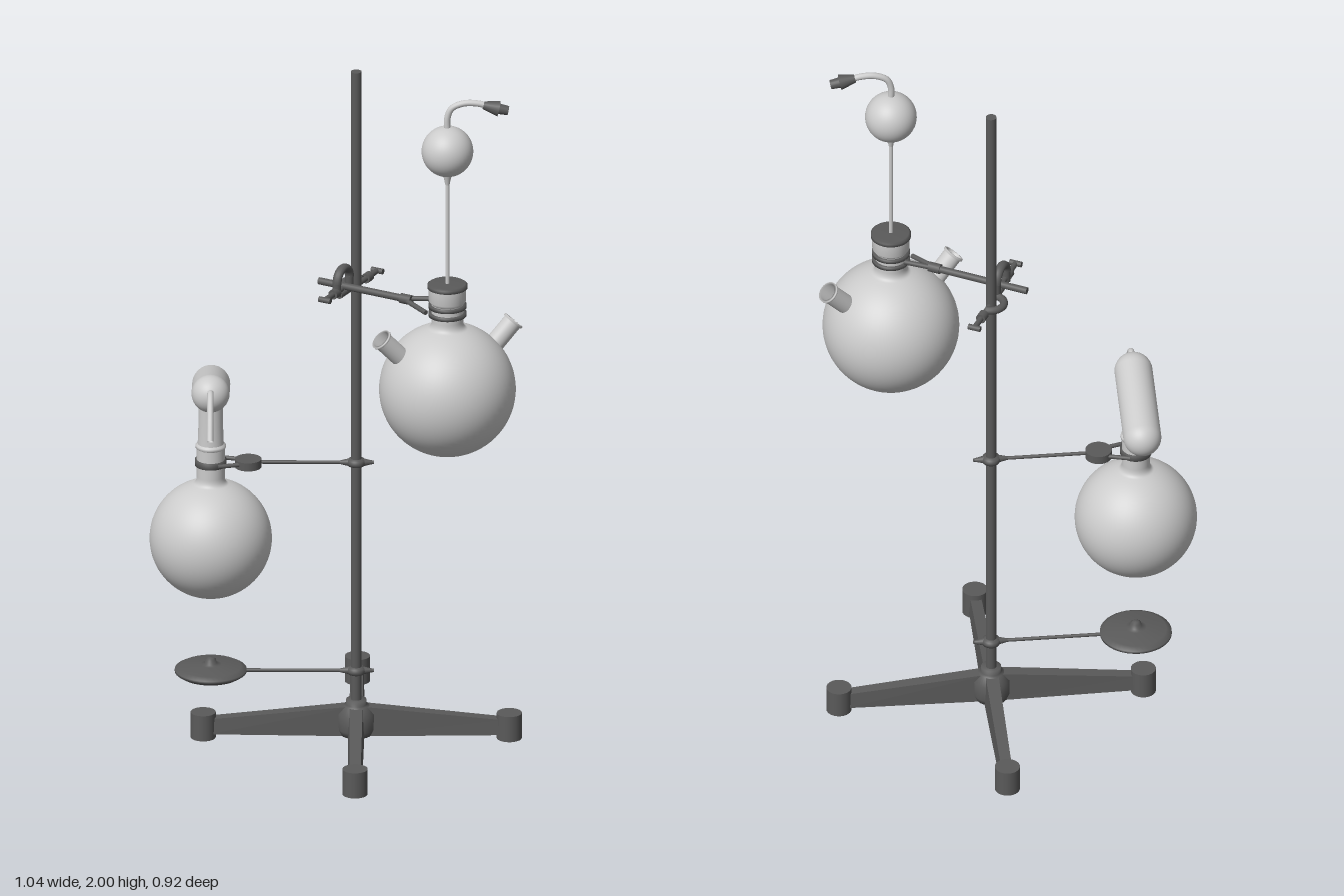
import * as THREE from 'three';

const V = (x, y, z) => new THREE.Vector3(x, y, z);
const glass = new THREE.MeshStandardMaterial({ color: 0xcccccc, side: THREE.DoubleSide });
const metal = new THREE.MeshStandardMaterial({ color: 0x5a5a5a, side: THREE.DoubleSide });

function add(parent, name, geometry, material, x = 0, y = 0, z = 0) {
  const m = new THREE.Mesh(geometry, material);
  m.name = name;
  m.position.set(x, y, z);
  parent.add(m);
  return m;
}

// Turn an object's own y axis from a towards b and centre it between them
function span(m, a, b) {
  m.position.copy(a).add(b).multiplyScalar(0.5);
  m.quaternion.setFromUnitVectors(V(0, 1, 0), b.clone().sub(a).normalize());
  return m;
}
const rod = (p, name, a, b, r, mat = metal, r2 = r) =>
  span(add(p, name, new THREE.CylinderGeometry(r2, r, a.distanceTo(b), 20), mat), a, b);

const lathe = (p, name, pts, mat, x, y, z, seg = 40) =>
  add(p, name, new THREE.LatheGeometry(pts.map(q => new THREE.Vector2(q[0], q[1])), seg), mat, x, y, z);

const tube = (p, name, pts, r, mat, seg = 40) =>
  add(p, name, new THREE.TubeGeometry(new THREE.CatmullRomCurve3(pts), seg, r, 12), mat);

// Round flask: sphere profile running through a fillet into a straight neck
function flask(p, name, r, neck, top, x, y, z) {
  const phi = Math.asin((neck * 1.3) / r), pts = [];
  for (let i = 0; i <= 40; i++) {
    const a = Math.PI - (Math.PI - phi) * i / 40;
    pts.push(new THREE.Vector2(Math.max(0, r * Math.sin(a)), r * Math.cos(a)));
  }
  const e = pts[pts.length - 1];
  const cornerY = e.y + (e.x - neck) * Math.tan(phi);
  const fillet = new THREE.QuadraticBezierCurve(e, new THREE.Vector2(neck, cornerY),
    new THREE.Vector2(neck, cornerY + 0.02));
  pts.push(...fillet.getPoints(8).slice(1), new THREE.Vector2(neck, top - y));
  return add(p, name, new THREE.LatheGeometry(pts, 56), glass, x, y, z);
}

// Flat ring around a vertical neck
const band = (p, name, r, h, x, y, z) => lathe(p, name,
  [[r - 0.008, -h], [r, -h], [r, h], [r - 0.008, h]], metal, x, y, z);

const PX = 0.05; // stand axis

function stand() {
  const g = new THREE.Group();
  g.name = 'stand';
  rod(g, 'pole', V(PX, 0.03, 0), V(PX, 1.99, 0), 0.015);
  lathe(g, 'hub', [[0, 0.012], [0.045, 0.012], [0.053, 0.03], [0.053, 0.075], [0.035, 0.098],
    [0.028, 0.1], [0.028, 0.115], [0, 0.115]], metal, PX, 0, 0);
  for (let i = 0; i < 4; i++) {
    const leg = new THREE.Group();
    leg.name = 'baseLeg';
    leg.position.x = PX;
    leg.rotation.y = i * Math.PI / 2;
    g.add(leg);
    // Leg tapers towards its foot and narrows at the top
    const geo = new THREE.BoxGeometry(1, 1, 1).toNonIndexed(), pos = geo.attributes.position;
    for (let k = 0; k < pos.count; k++) {
      const out = pos.getX(k) > 0, up = pos.getY(k) > 0;
      pos.setXYZ(k, out ? 0.41 : 0, up ? (out ? 0.058 : 0.1) : (out ? 0.015 : 0.012),
        Math.sign(pos.getZ(k)) * (out ? 0.019 : 0.023) * (up ? 0.8 : 1));
    }
    geo.computeVertexNormals();
    add(leg, 'legBar', geo, metal);
    add(leg, 'foot', new THREE.CylinderGeometry(0.035, 0.035, 0.075, 32), metal, 0.425, 0.0375, 0);
  }
  return g;
}

// Thin arm reaching left from a collar on the pole
function arm(g, y, endX) {
  rod(g, 'armRod', V(endX, y, 0), V(0.1, y, 0), 0.005);
  lathe(g, 'poleCollar', [[0.015, -0.012], [0.024, -0.008], [0.026, 0], [0.024, 0.008], [0.015, 0.012]],
    metal, PX, y, 0);
  rod(g, 'armSleeve', V(0, y, 0), V(0.03, y, 0), 0.004, metal, 0.011);
  rod(g, 'armScrew', V(0.07, y, 0), V(0.1, y, 0), 0.011, metal, 0.004);
}

function heater() {
  const g = new THREE.Group();
  g.name = 'lowerPlate';
  arm(g, 0.2, -0.3);
  lathe(g, 'plate', [[0, -0.013], [0.085, -0.013], [0.1, -0.003], [0.1, 0.004], [0.085, 0.012],
    [0.03, 0.018], [0.016, 0.02], [0.015, 0.032], [0.008, 0.037], [0, 0.038]], metal, -0.354, 0.2, 0);
  return g;
}

function leftApparatus() {
  const g = new THREE.Group(), X = -0.354;
  g.name = 'leftFlask';
  flask(g, 'flaskBody', 0.17, 0.039, 0.87, X, 0.595, 0);
  lathe(g, 'neckRim', [[0.036, 0.862], [0.042, 0.866], [0.042, 0.874], [0.034, 0.88]], glass, X, 0, 0);
  lathe(g, 'riser', [[0.037, 0.86], [0.034, 0.94], [0.034, 1.03]], glass, X, 0, 0);
  // Tilted bulb with a bent outlet
  const a = V(X, 0.987, -0.17), b = V(X, 1.05, 0.06);
  span(add(g, 'tiltedBulb', new THREE.CapsuleGeometry(0.053, a.distanceTo(b), 12, 32), glass), a, b);
  tube(g, 'outletTube', [V(X, 1.062, 0.09), V(X, 1.072, 0.118), V(X, 1.06, 0.14), V(X, 1.015, 0.178),
    V(X, 0.967, 0.214)], 0.009, glass);
  // Clamp
  arm(g, 0.822, -0.25);
  add(g, 'clampKnob', new THREE.CylinderGeometry(0.037, 0.037, 0.024, 32), metal, -0.25, 0.82, 0);
  band(g, 'clampRing', 0.044, 0.009, X, 0.822, 0);
  for (const s of [-1, 1])
    rod(g, 'clampJaw', V(-0.25, 0.822, s * 0.015), V(X + 0.02, 0.822, s * 0.038), 0.006);
  return g;
}

function rightApparatus() {
  const g = new THREE.Group(), X = 0.305, Z = 0.233, C = V(X, 1.135, Z);
  g.name = 'rightFlask';
  flask(g, 'flaskBody', 0.19, 0.044, 1.41, X, C.y, Z);
  lathe(g, 'neckSocket', [[0.044, 1.39], [0.052, 1.4], [0.052, 1.438]], glass, X, 0, Z);
  lathe(g, 'stopper', [[0.05, 1.436], [0.056, 1.438], [0.056, 1.447], [0.05, 1.451], [0, 1.451]],
    metal, X, 0, Z);
  // Two open side necks
  for (const s of [-1, 1]) {
    const start = V(X + s * 0.108, 1.225, Z - s * 0.043), end = V(X + s * 0.184, 1.312, Z - s * 0.074);
    const L = start.distanceTo(end) / 2;
    span(lathe(g, 'sideNeck', [[0.027, -L], [0.027, L - 0.008], [0.031, L - 0.006], [0.031, L],
      [0.024, L], [0.022, -L]], glass, 0, 0, 0), start, end);
  }
  // Upper bulb on a thin stem
  rod(g, 'stem', V(X, 1.43, Z), V(X, 1.79, Z), 0.006, glass);
  lathe(g, 'stemTaper', [[0.006, 1.745], [0.01, 1.765], [0.016, 1.782]], glass, X, 0, Z);
  add(g, 'upperBulb', new THREE.SphereGeometry(0.072, 40, 28), glass, X, 1.845, Z);
  tube(g, 'bentTube', [V(X, 1.9, Z), V(X, 1.945, Z), V(X + 0.012, 1.973, Z), V(X + 0.045, 1.988, Z),
    V(X + 0.085, 1.988, Z), V(X + 0.125, 1.977, Z)], 0.009, glass);
  rod(g, 'hoseCone', V(0.405, 1.983, Z), V(0.448, 1.973, Z), 0.011, metal, 0.022);
  rod(g, 'hoseTip', V(0.446, 1.973, Z), V(0.474, 1.967, Z), 0.015, metal, 0.013);
  return g;
}

function upperClamp() {
  const g = new THREE.Group(), Y = 1.373;
  g.name = 'upperClamp';
  rod(g, 'clampRod', V(-0.053, Y, 0.022), V(0.184, Y, 0.154), 0.01);
  // Fork and rings gripping the neck
  rod(g, 'forkTine', V(0.18, Y, 0.152), V(0.272, Y + 0.01, 0.181), 0.007);
  rod(g, 'forkTine', V(0.18, Y, 0.152), V(0.245, Y - 0.01, 0.235), 0.007);
  rod(g, 'forkJoint', V(0.175, Y, 0.15), V(0.205, Y, 0.167), 0.014);
  for (const dy of [-0.013, 0.011]) band(g, 'neckRing', 0.053, 0.005, 0.305, Y + dy, 0.233);
  // Double boss, its own x axis running along both thumbscrews
  const boss = new THREE.Group();
  boss.name = 'boss';
  boss.position.set(PX, 0, 0);
  boss.rotation.y = Math.atan2(-0.88, -0.47);
  g.add(boss);
  const hook = add(boss, 'rodHook', new THREE.TorusGeometry(0.036, 0.011, 12, 28, Math.PI), metal, 0.076, 1.393, 0);
  hook.scale.z = 1.2;
  rod(boss, 'hookLeg', V(0.112, 1.395, 0), V(0.112, 1.358, 0), 0.012);
  rod(boss, 'hookLeg', V(0.04, 1.395, 0), V(0.04, 1.35, 0), 0.012);
  const poleHook = add(boss, 'poleHook', new THREE.TorusGeometry(0.036, 0.011, 12, 28, Math.PI), metal, 0, 1.355, 0);
  poleHook.rotation.x = Math.PI / 2;
  rod(boss, 'hookBase', V(0.03, 1.355, 0), V(0.1, 1.355, 0), 0.01);
  for (const [from, to, y] of [[0.085, 0.182, 1.37], [-0.015, -0.123, 1.352]]) {
    const s = Math.sign(to);
    rod(boss, 'thumbscrew', V(from, y, 0), V(to, y, 0), 0.008);
    rod(boss, 'screwCollar', V(to - s * 0.07, y, 0), V(to - s * 0.045, y, 0), 0.014);
    rod(boss, 'screwHandle', V(to, y, -0.018), V(to, y, 0.018), 0.008);
  }
  return g;
}

export function createModel() {
  const model = new THREE.Group();
  model.name = 'laboratoryStand';
  model.add(stand(), heater(), leftApparatus(), rightApparatus(), upperClamp());
  return model;
}
